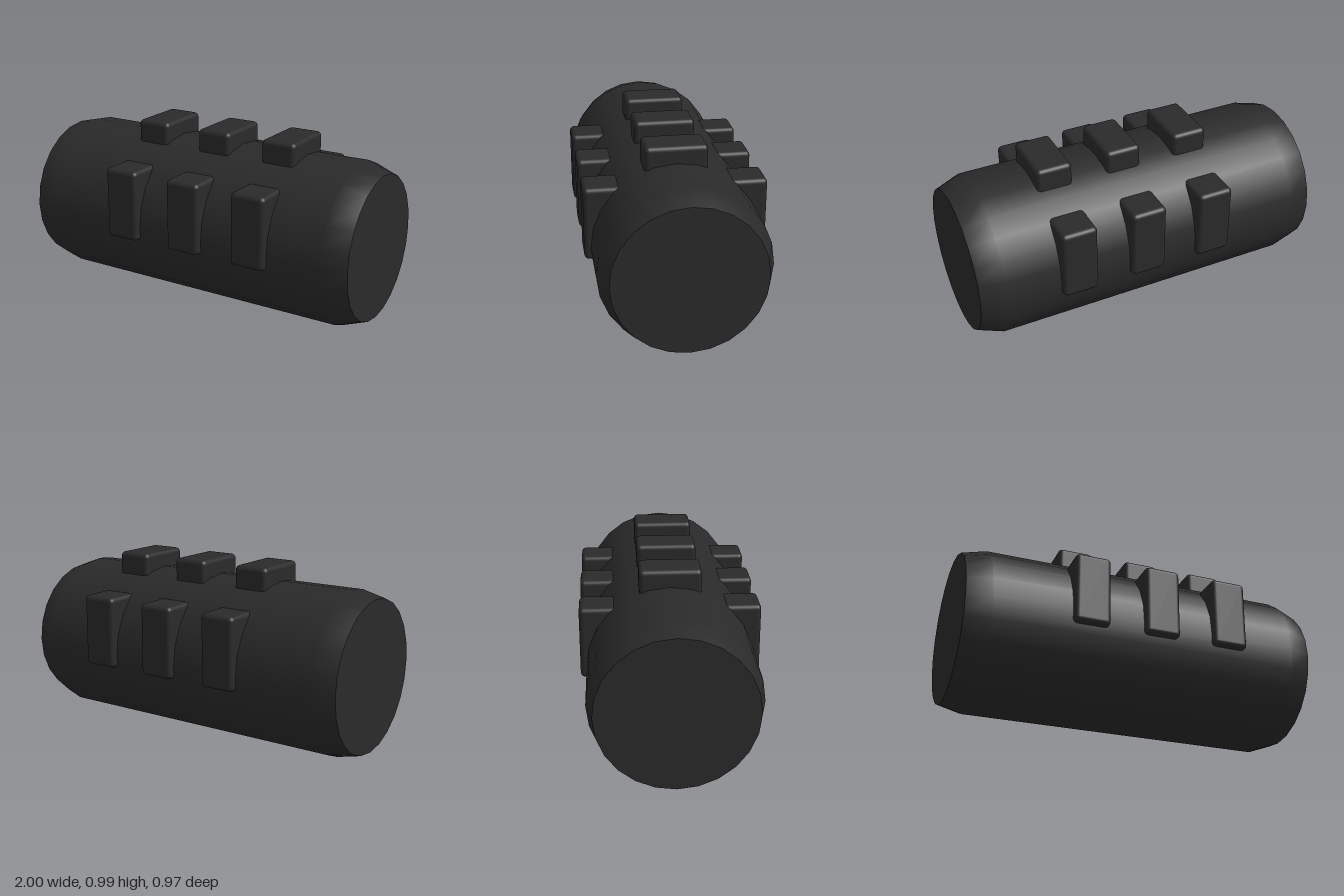
import * as THREE from 'three';
import { RoundedBoxGeometry } from 'three/addons/geometries/RoundedBoxGeometry.js';

export function createModel() {
  const model = new THREE.Group();
  model.name = 'ribbedGrip';
  const rubber = new THREE.MeshStandardMaterial({ color: 0x2a2a2a });
  rubber.name = 'black rubber';

  const AXIS_Y = 0.45, SIDES = 24;
  const LEFT_R = 0.4, RIGHT_R = 0.417;

  const add = (name, geometry, x, y, z) => {
    const mesh = new THREE.Mesh(geometry, rubber);
    mesh.name = name;
    mesh.position.set(x, y, z);
    model.add(mesh);
  };

  // Barrel: a smooth tube along x with tapered ends
  const profile = [[RIGHT_R, -1], [0.45, -0.865], [0.45, 0.865], [LEFT_R, 1]]
    .map(([r, h]) => new THREE.Vector2(r, h));
  add('barrel', new THREE.LatheGeometry(profile, SIDES).rotateZ(-Math.PI / 2), 0, AXIS_Y, 0);

  // Flat end caps
  add('leftCap', new THREE.CircleGeometry(LEFT_R, SIDES).rotateY(Math.PI / 2), 1, AXIS_Y, 0);
  add('rightCap', new THREE.CircleGeometry(RIGHT_R, SIDES).rotateY(-Math.PI / 2), -1, AXIS_Y, 0);

  // Three rows of rounded pads: top, front and back
  const topPad = new RoundedBoxGeometry(0.2, 0.2, 0.33, 3, 0.025);
  const sidePad = new RoundedBoxGeometry(0.2, 0.4, 0.2, 3, 0.025);
  for (const x of [-0.335, 0.065, 0.465]) {
    add('topPad', topPad, x, 0.89, 0);
    add('frontPad', sidePad, x, 0.585, 0.383);
    add('backPad', sidePad, x, 0.585, -0.383);
  }
  return model;
}
